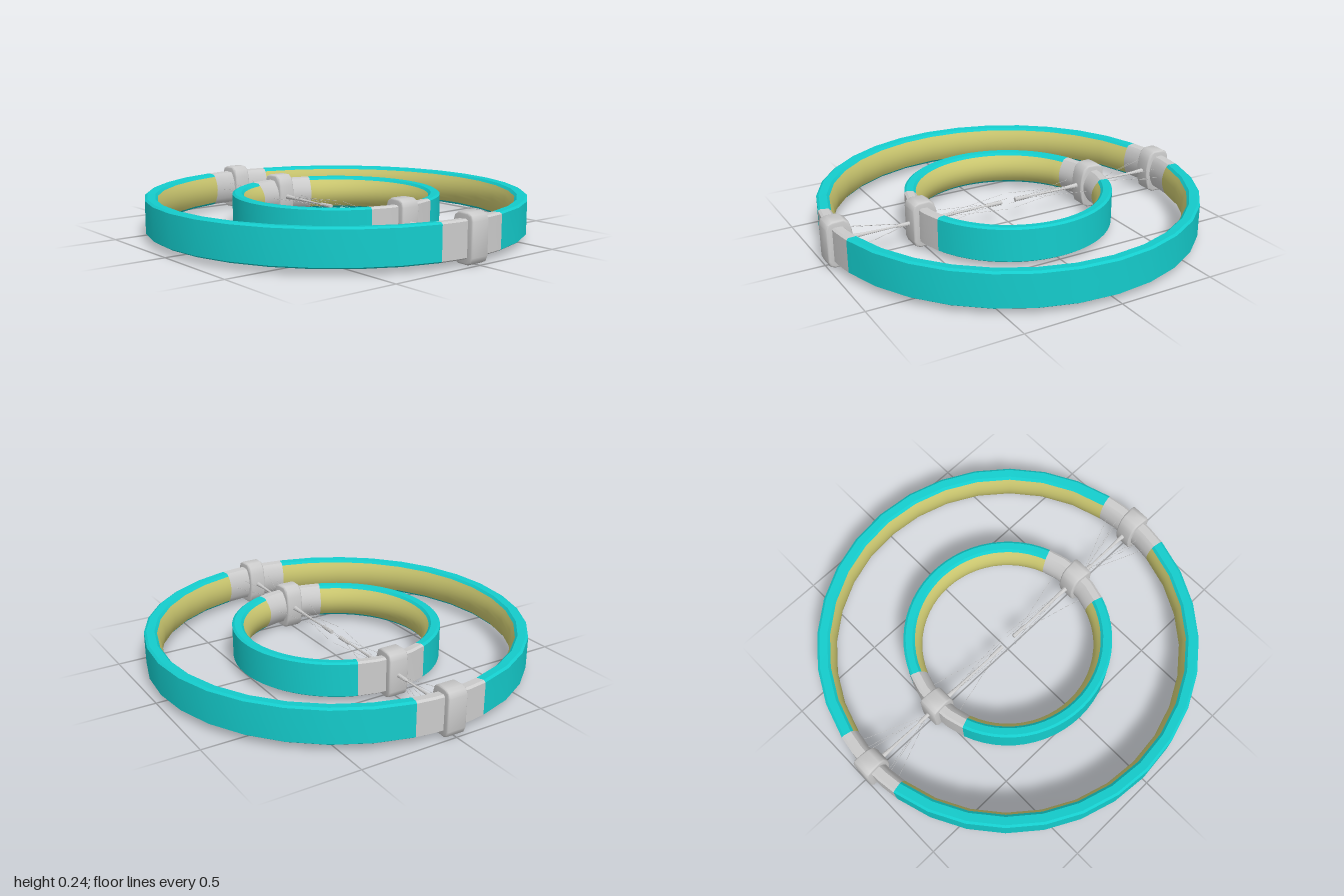
import * as THREE from 'three';
import { toCreasedNormals } from 'three/addons/utils/BufferGeometryUtils.js';

const MID = 0.118; // height of the ring centre line
const grey = new THREE.MeshStandardMaterial({ color: 0xcccccc, side: THREE.DoubleSide });
const teal = new THREE.MeshStandardMaterial({ color: 0x14cccc, side: THREE.DoubleSide });
const khaki = new THREE.MeshStandardMaterial({ color: 0xccc870, side: THREE.DoubleSide });

function add(parent, name, geometry, material) {
  const mesh = new THREE.Mesh(geometry, material);
  mesh.name = name;
  parent.add(mesh);
  return mesh;
}

// Arc of a revolved profile; points are [radius, height above the centre line]
function arc(points, segments, start, length) {
  const profile = points.map(([r, y]) => new THREE.Vector2(r, y + MID));
  return toCreasedNormals(new THREE.LatheGeometry(profile, segments, start, length), 0.5);
}

// Thin rod or strand between two points
function strand(parent, name, a, b, radius) {
  const from = new THREE.Vector3(...a), to = new THREE.Vector3(...b);
  const dir = to.clone().sub(from);
  const mesh = add(parent, name, new THREE.CylinderGeometry(radius, radius, dir.length(), 4), grey);
  mesh.position.copy(from).add(to).multiplyScalar(0.5);
  mesh.quaternion.setFromUnitVectors(new THREE.Vector3(0, 1, 0), dir.normalize());
}

// Clamp around the ring: rounded on the inward side, tapered toward the centre
function hubGeometry() {
  const outline = [
    [0.058, -0.08], [0.058, 0.08], [0.05, 0.1], [0.032, 0.109], [-0.022, 0.109],
    [-0.043, 0.094], [-0.054, 0.06], [-0.06, 0.02], [-0.06, -0.02],
    [-0.054, -0.06], [-0.043, -0.094], [-0.022, -0.109], [0.032, -0.109], [0.05, -0.1],
  ];
  const shape = new THREE.Shape(outline.map(([x, y]) => new THREE.Vector2(x, y)));
  const g = new THREE.ExtrudeGeometry(shape, {
    depth: 0.08, bevelEnabled: true, bevelThickness: 0.009, bevelSize: 0.009, bevelSegments: 3,
  });
  g.translate(0, 0, -0.04);
  const p = g.attributes.position;
  for (let i = 0; i < p.count; i++) p.setZ(i, p.getZ(i) * (1 + p.getX(i) * 1.2));
  return toCreasedNormals(g, 0.8);
}

function buildRing(name, { outer, inner, rim, hubX, greyAngle, segments }) {
  const ring = new THREE.Group();
  ring.name = name;
  // Outer shell with rounded rims, and a bulging inner lining
  const shell = [
    [rim, -0.075], [rim + 0.012, -0.087], [outer - 0.012, -0.09], [outer, -0.082],
    [outer, 0.082], [outer - 0.012, 0.09], [rim + 0.012, 0.087], [rim, 0.075],
  ];
  const lining = [];
  for (let i = 0; i <= 8; i++) {
    const t = 1 - i / 4;
    lining.push([inner + (rim - inner) * t * t, 0.075 * t]);
  }
  for (const side of [1, -1]) {
    // Coloured half between the clamps
    const start = (side > 0 ? 1.5 : 0.5) * Math.PI + greyAngle;
    const length = Math.PI - 2 * greyAngle;
    const half = side > 0 ? 'front' : 'back';
    add(ring, half + 'Shell', arc(shell, segments, start, length), teal);
    add(ring, half + 'Lining', arc(lining, segments, start, length), khaki);
    // Grey joint and clamp at each side
    const label = side > 0 ? 'left' : 'right';
    const joint = arc([...shell, ...lining.slice(1)], 4, side * Math.PI / 2 - greyAngle, 2 * greyAngle);
    add(ring, label + 'Joint', joint, grey);
    const hub = add(ring, label + 'Clamp', hubGeometry(), grey);
    hub.position.set(side * hubX, MID, 0);
    if (side < 0) hub.rotation.y = Math.PI;
  }
  return ring;
}

// Spoke that is thick at both ends and narrow between, with a fan of fine strands
function buildSpoke(name, side, x0, x1, fan) {
  const spoke = new THREE.Group();
  spoke.name = name;
  const len = x1 - x0;
  const profile = [[0, 0], [0.011, 0], [0.009, 0.2], [0.004, 0.24], [0.006, 0.5], [0.008, 0.75], [0.014, 1]]
    .map(([r, t]) => new THREE.Vector2(r, t * len));
  const rod = add(spoke, 'rod', toCreasedNormals(new THREE.LatheGeometry(profile, 10), 0.6), grey);
  rod.rotation.z = -side * Math.PI / 2;
  rod.position.set(side * x0, MID, 0);
  for (const [ax, bx, dy, dz] of fan) {
    for (const s of [1, -1]) {
      strand(spoke, 'strand', [side * ax, MID, 0], [side * bx, MID + dy, s * dz], 0.0009);
    }
  }
  return spoke;
}

export function createModel() {
  const model = new THREE.Group();
  model.name = 'doubleRing';
  model.add(buildRing('outerRing', {
    outer: 0.972, inner: 0.887, rim: 0.908, hubX: 0.933, greyAngle: Math.PI / 16, segments: 14,
  }));
  model.add(buildRing('innerRing', {
    outer: 0.532, inner: 0.443, rim: 0.474, hubX: 0.493, greyAngle: 0.365, segments: 24,
  }));
  for (const side of [1, -1]) {
    const label = side > 0 ? 'left' : 'right';
    model.add(buildSpoke(label + 'OuterSpoke', side, 0.55, 0.88, [
      [0.56, 0.9, 0, 0.14], [0.56, 0.9, 0.03, 0.08], [0.56, 0.9, -0.03, 0.08],
    ]));
    model.add(buildSpoke(label + 'InnerSpoke', side, 0.04, 0.44, [
      [0.06, 0.45, 0, 0.1], [0.43, 0.02, 0.03, 0.03], [0.43, 0.02, -0.03, 0.03],
    ]));
  }
  return model;
}
